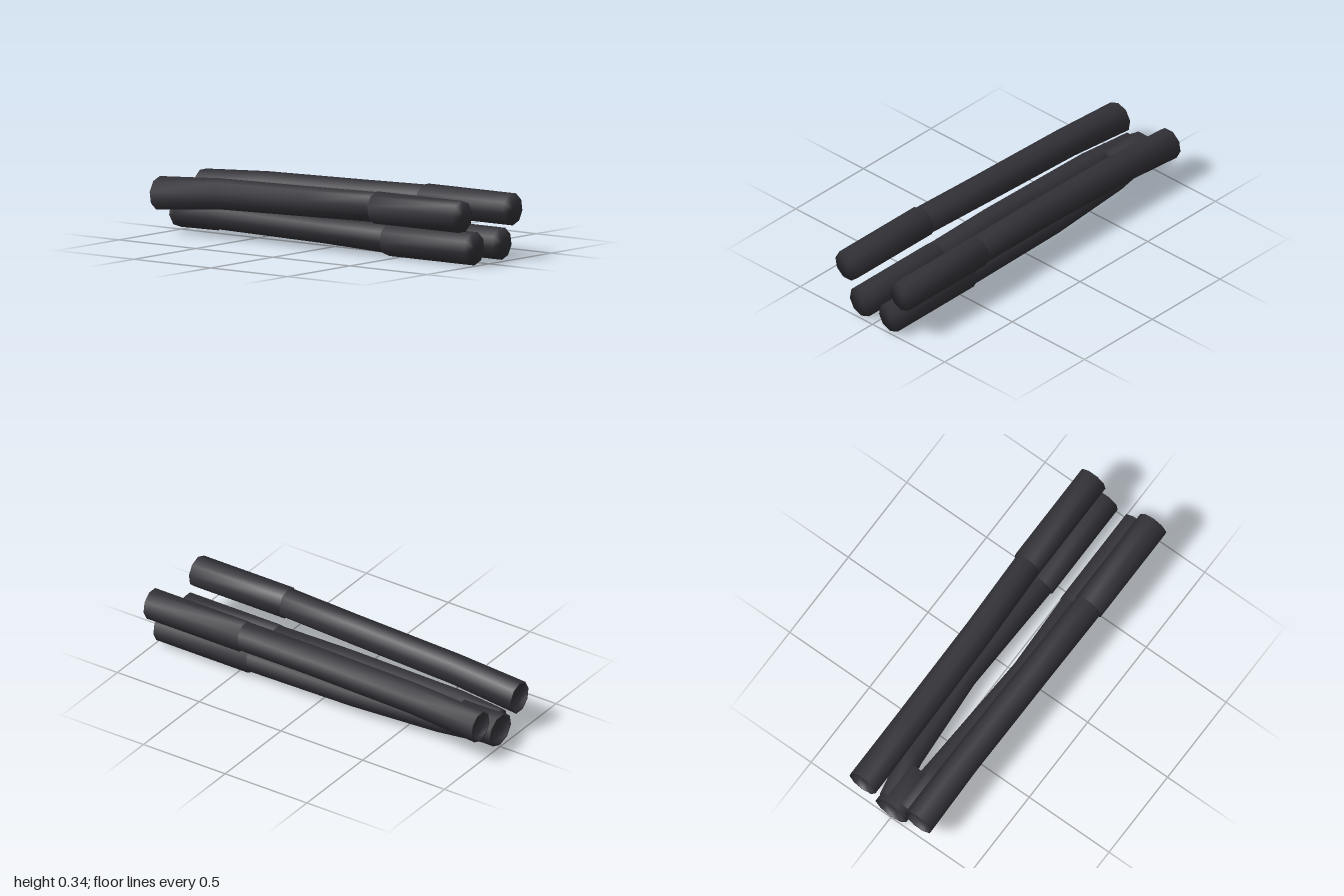
import * as THREE from 'three';

const SIDES = 9;

// Smooth closed loft along x; each station is [x, y, z, radiusY, radiusZ].
function loft(stations, phase) {
  const pos = [], idx = [];
  stations.forEach(([x, y, z, ry, rz]) => {
    for (let j = 0; j < SIDES; j++) {
      const a = phase + (j / SIDES) * Math.PI * 2;
      pos.push(x, y + Math.cos(a) * ry, z + Math.sin(a) * rz);
    }
  });
  const last = stations.length - 1;
  for (let i = 0; i < last; i++) {
    for (let j = 0; j < SIDES; j++) {
      const k = (j + 1) % SIDES;
      const a = i * SIDES + j, b = i * SIDES + k;
      idx.push(a, b, a + SIDES, b, b + SIDES, a + SIDES);
    }
  }
  // End caps
  const c0 = pos.length / 3, c1 = c0 + 1;
  pos.push(...stations[0].slice(0, 3), ...stations[last].slice(0, 3));
  for (let j = 0; j < SIDES; j++) {
    const k = (j + 1) % SIDES;
    idx.push(c0, k, j, c1, last * SIDES + j, last * SIDES + k);
  }
  const g = new THREE.BufferGeometry();
  g.setAttribute('position', new THREE.Float32BufferAttribute(pos, 3));
  g.setIndex(idx);
  g.computeVertexNormals();
  return g;
}

// Adds a shallow hollow mouth in front of the first station.
function withMouth(stations) {
  const [x, y, z, ry, rz] = stations[0];
  return [
    [x + 0.03, y, z, ry * 0.82, rz * 0.82],
    [x, y, z, ry * 0.88, rz * 0.88],
    ...stations,
  ];
}

export function createModel() {
  const model = new THREE.Group();
  const darkMetal = new THREE.MeshStandardMaterial({ color: 0x323137 });
  darkMetal.name = 'darkMetal';

  function add(name, stations, phase) {
    const mesh = new THREE.Mesh(loft(stations, phase), darkMetal);
    mesh.name = name;
    model.add(mesh);
  }

  // Each pipe: shaft stations, then sleeve as [endX, y, z, radiusY, radiusZ].
  const pipes = [
    {
      name: 'upperFrontPipe', phase: 0, open: true,
      shaft: [
        [-1, 0.203, 0.172, 0.087, 0.083], [-0.6, 0.234, 0.174, 0.08, 0.079],
        [0, 0.248, 0.183, 0.078, 0.077], [0.45, 0.26, 0.191, 0.077, 0.077],
      ],
      sleeve: [0.98, 0.258, 0.193, 0.083, 0.083],
    },
    {
      name: 'upperBackPipe', phase: Math.PI / 9, open: true,
      shaft: [
        [-1, 0.207, -0.178, 0.085, 0.082], [-0.6, 0.234, -0.176, 0.08, 0.079],
        [0, 0.248, -0.18, 0.078, 0.076], [0.45, 0.257, -0.192, 0.078, 0.074],
      ],
      sleeve: [0.995, 0.257, -0.196, 0.083, 0.079],
    },
    {
      name: 'lowerFrontPipe', phase: Math.PI, open: false,
      shaft: [
        [-0.96, 0.105, 0.05, 0.075, 0.07], [-0.7, 0.108, 0.075, 0.074, 0.075],
        [0, 0.099, 0.104, 0.07, 0.07], [0.45, 0.09, 0.094, 0.078, 0.077],
      ],
      sleeve: [0.98, 0.086, 0.094, 0.086, 0.082],
    },
    {
      name: 'lowerBackPipe', phase: Math.PI, open: false,
      shaft: [
        [-0.96, 0.102, -0.04, 0.072, 0.06], [-0.7, 0.104, -0.09, 0.07, 0.064],
        [-0.2, 0.1, -0.126, 0.068, 0.064], [0.45, 0.092, -0.115, 0.076, 0.072],
      ],
      sleeve: [0.99, 0.09, -0.115, 0.083, 0.079],
    },
  ];

  for (const p of pipes) {
    add(p.name, p.open ? withMouth(p.shaft) : p.shaft, p.phase);
    const [endX, y, z, ry, rz] = p.sleeve;
    add(p.name + 'Sleeve', [[0.43, y, z, ry, rz], [endX, y, z, ry, rz]], p.phase);
  }

  // Collector where the two lower pipes merge into one mouth
  add('collector', withMouth([
    [-1, 0.099, 0, 0.087, 0.098], [-0.76, 0.1, 0, 0.085, 0.092],
  ]), Math.PI / 9);

  return model;
}
